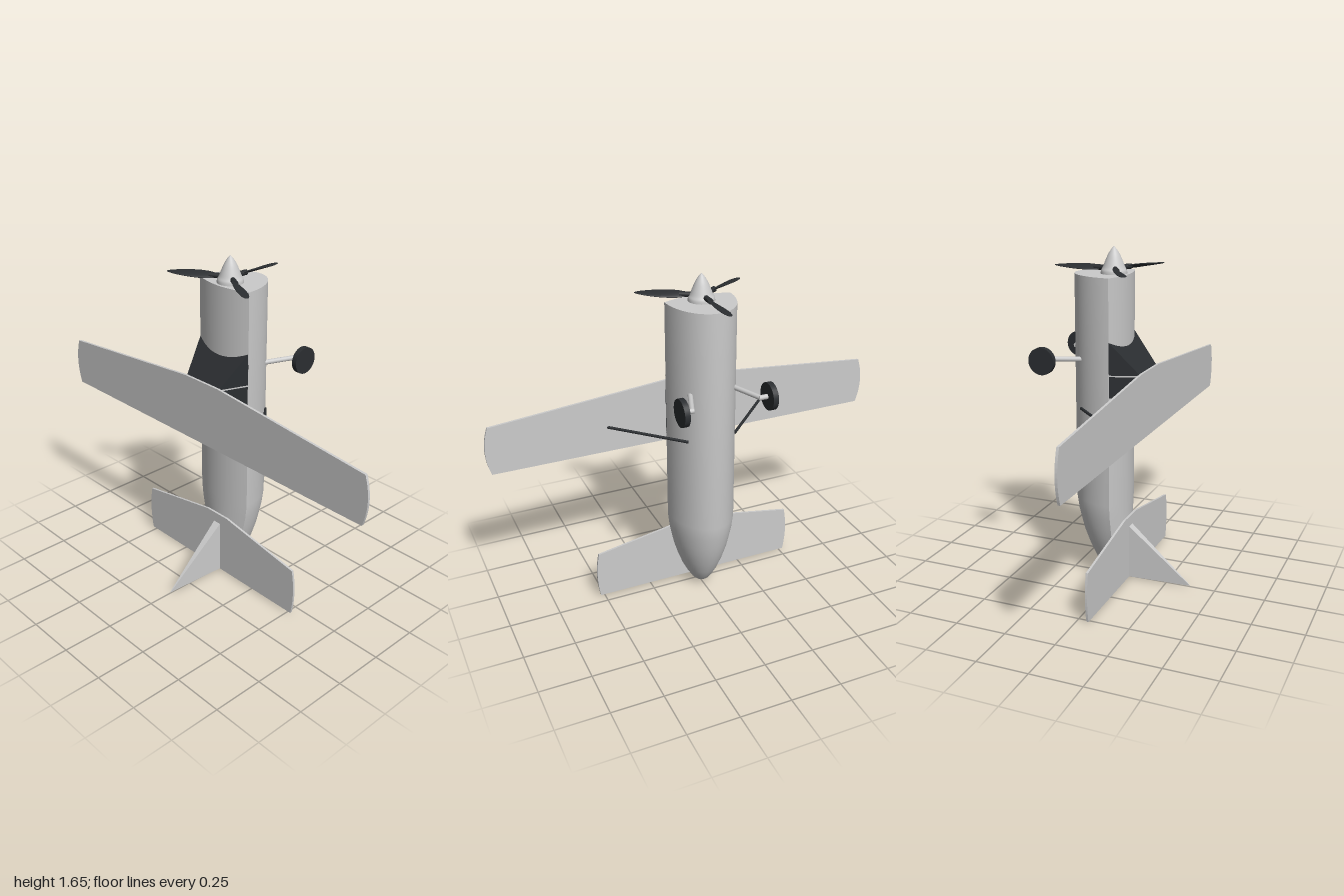
import * as THREE from 'three';
import { toCreasedNormals } from 'three/addons/utils/BufferGeometryUtils.js';
import { ConvexGeometry } from 'three/addons/geometries/ConvexGeometry.js';

const grey = new THREE.MeshStandardMaterial({ color: 0xcccccc, side: THREE.DoubleSide });
const dark = new THREE.MeshStandardMaterial({ color: 0x2b2e31, side: THREE.DoubleSide });
const V = (x, y, z) => new THREE.Vector3(x, y, z);

export function createModel() {
  const model = new THREE.Group();
  const add = (name, geometry, material = grey, parent = model) => {
    const mesh = new THREE.Mesh(geometry, material);
    mesh.name = name;
    parent.add(mesh);
    return mesh;
  };

  // Straight round rod between two points
  const rod = (name, a, b, radius, material, parent = model) => {
    const mesh = add(name, new THREE.CylinderGeometry(radius, radius, a.distanceTo(b), 12), material, parent);
    mesh.position.copy(a).add(b).multiplyScalar(0.5);
    mesh.quaternion.setFromUnitVectors(V(0, 1, 0), b.clone().sub(a).normalize());
    return mesh;
  };

  // Fuselage: shallow arched deck, rounded belly, tapering to the tail
  const deckSteps = 12, bellySteps = 32, section = [];
  for (let i = 0; i < deckSteps; i++) {
    const u = -1 + 2 * i / deckSteps;
    section.push([0.163 * u, 0.01 + 0.035 * (1 - u * u)]);
  }
  for (let i = 0; i < bellySteps; i++) {
    const a = Math.PI * i / bellySteps;
    section.push([0.163 * Math.cos(a), 0.01 - 0.23 * Math.sin(a)]);
  }
  // Stations: height, width and belly scale, deck scale
  const stations = [
    [0.005, 0, 0], [0.018, 0.14, 0.25], [0.04, 0.28, 0.52], [0.075, 0.41, 0.75],
    [0.115, 0.53, 0.9], [0.18, 0.68, 0.99], [0.25, 0.81, 1], [0.295, 0.87, 1],
    [0.36, 0.95, 1], [0.43, 1, 1], [1.53, 1, 1], [1.53, 0, 0],
  ];
  const midZ = -0.02, pos = [], idx = [], n = section.length;
  stations.forEach(([y, s, deck], k) => {
    section.forEach(([x, z], j) => {
      pos.push(x * s, y, midZ + (z - midZ) * (z > midZ ? deck : s));
      if (k === 0) return;
      const a = (k - 1) * n + j, b = (k - 1) * n + (j + 1) % n;
      idx.push(a, b, b + n, a, b + n, a + n);
    });
  });
  const hull = new THREE.BufferGeometry();
  hull.setAttribute('position', new THREE.Float32BufferAttribute(pos, 3));
  hull.setIndex(idx);
  add('fuselage', toCreasedNormals(hull, 0.6));

  // Spinner
  const nose = [[0.062, 0], [0.06, 0.015], [0.052, 0.03], [0.042, 0.055], [0.029, 0.085], [0.014, 0.11], [0, 0.125]];
  const spinner = add('spinner', new THREE.LatheGeometry(
    new THREE.SplineCurve(nose.map(p => new THREE.Vector2(...p))).getPoints(24), 32));
  spinner.position.set(0, 1.53, -0.03);

  // Propeller: three twisted blades with round roots
  const propeller = new THREE.Group();
  propeller.name = 'propeller';
  propeller.position.set(0, 1.555, -0.03);
  model.add(propeller);
  const bladeGeo = new THREE.SphereGeometry(1, 20, 24).scale(0.028, 0.006, 0.125);
  bladeGeo.rotateX(0).translate(0, 0, -0.18);
  const bp = bladeGeo.attributes.position;
  for (let i = 0; i < bp.count; i++) {
    const x = bp.getX(i), y = bp.getY(i), r = -bp.getZ(i);
    const a = 0.75 * (1 - r / 0.33);
    bp.setXY(i, x * Math.cos(a) - y * Math.sin(a), x * Math.sin(a) + y * Math.cos(a));
  }
  bladeGeo.computeVertexNormals();
  for (let i = 0; i < 3; i++) {
    const blade = new THREE.Group();
    blade.name = 'propellerBlade';
    blade.rotation.y = i * Math.PI * 2 / 3;
    propeller.add(blade);
    add('bladeSurface', bladeGeo, dark, blade);
    rod('bladeRoot', V(0, 0, 0), V(0, 0, -0.1), 0.013, dark, blade);
  }

  // Flat flying surface with tapered leading edge and bowed tips
  const surface = (name, root, rootY, tipX, tipY, bow, baseY, z, depth) => {
    const s = new THREE.Shape();
    s.moveTo(-root, rootY);
    s.lineTo(-tipX, tipY);
    s.quadraticCurveTo(-tipX - 2 * bow, (tipY + baseY) / 2, -tipX, baseY);
    s.lineTo(tipX, baseY);
    s.quadraticCurveTo(tipX + 2 * bow, (tipY + baseY) / 2, tipX, tipY);
    s.lineTo(root, rootY);
    s.closePath();
    const geo = new THREE.ExtrudeGeometry(s, { depth, bevelEnabled: false, curveSegments: 12 });
    add(name, geo.translate(0, 0, z));
  };
  surface('wing', 0.11, 1.09, 0.978, 1.01, 0.022, 0.77, 0.141, 0.012);
  surface('tailplane', 0.07, 0.335, 0.52, 0.255, 0.013, 0.01, 0.047, 0.011);

  // Fin, thinning toward its tip
  const fin = [];
  for (const s of [-1, 1]) {
    fin.push(V(s * 0.022, 0.33, 0), V(s * 0.022, 0.01, 0),
      V(s * 0.022, 0.29, 0.05), V(s * 0.02, 0.01, 0.05), V(s * 0.002, 0.01, 0.375));
  }
  add('fin', new ConvexGeometry(fin));

  // Cabin: sloped windscreen, then windows and frames stacked along the body
  const sideX = 0.163, roofX = 0.11, sillZ = 0.007, roofZ = 0.146;
  const screen = [];
  for (const s of [-1, 1]) {
    screen.push(V(s * sideX, 1.24, sillZ), V(s * sideX, 1.083, sillZ), V(s * roofX, 1.083, roofZ));
  }
  add('windscreen', new ConvexGeometry(screen), dark);
  const cabin = (name, y0, y1, material) => {
    const pts = [];
    for (const s of [-1, 1]) for (const y of [y0, y1]) {
      pts.push(V(s * sideX, y, sillZ), V(s * roofX, y, roofZ));
    }
    add(name, new ConvexGeometry(pts), material);
  };
  cabin('frontFrame', 1.076, 1.083, grey);
  cabin('frontWindow', 0.975, 1.076, dark);
  cabin('middleFrame', 0.945, 0.975, grey);
  cabin('rearWindow', 0.85, 0.945, dark);
  cabin('rearFrame', 0.82, 0.85, grey);

  // Mirrored wing struts and landing gear
  for (const [side, s] of [['left', 1], ['right', -1]]) {
    rod(side + 'WingStrut', V(s * 0.12, 0.897, -0.15), V(s * 0.41, 0.897, 0.145), 0.007, dark);
    const gear = new THREE.Group();
    gear.name = side + 'LandingGear';
    model.add(gear);
    rod('gearLeg', V(s * 0.105, 1.135, -0.14), V(s * 0.168, 1.135, -0.305), 0.012, grey, gear);
    rod('axle', V(s * 0.16, 1.135, -0.305), V(s * 0.21, 1.135, -0.305), 0.012, grey, gear);
    const wheel = add('wheel', new THREE.CylinderGeometry(0.065, 0.065, 0.026, 32), dark, gear);
    wheel.rotation.z = Math.PI / 2;
    wheel.position.set(s * 0.214, 1.135, -0.305);
  }

  return model;
}
